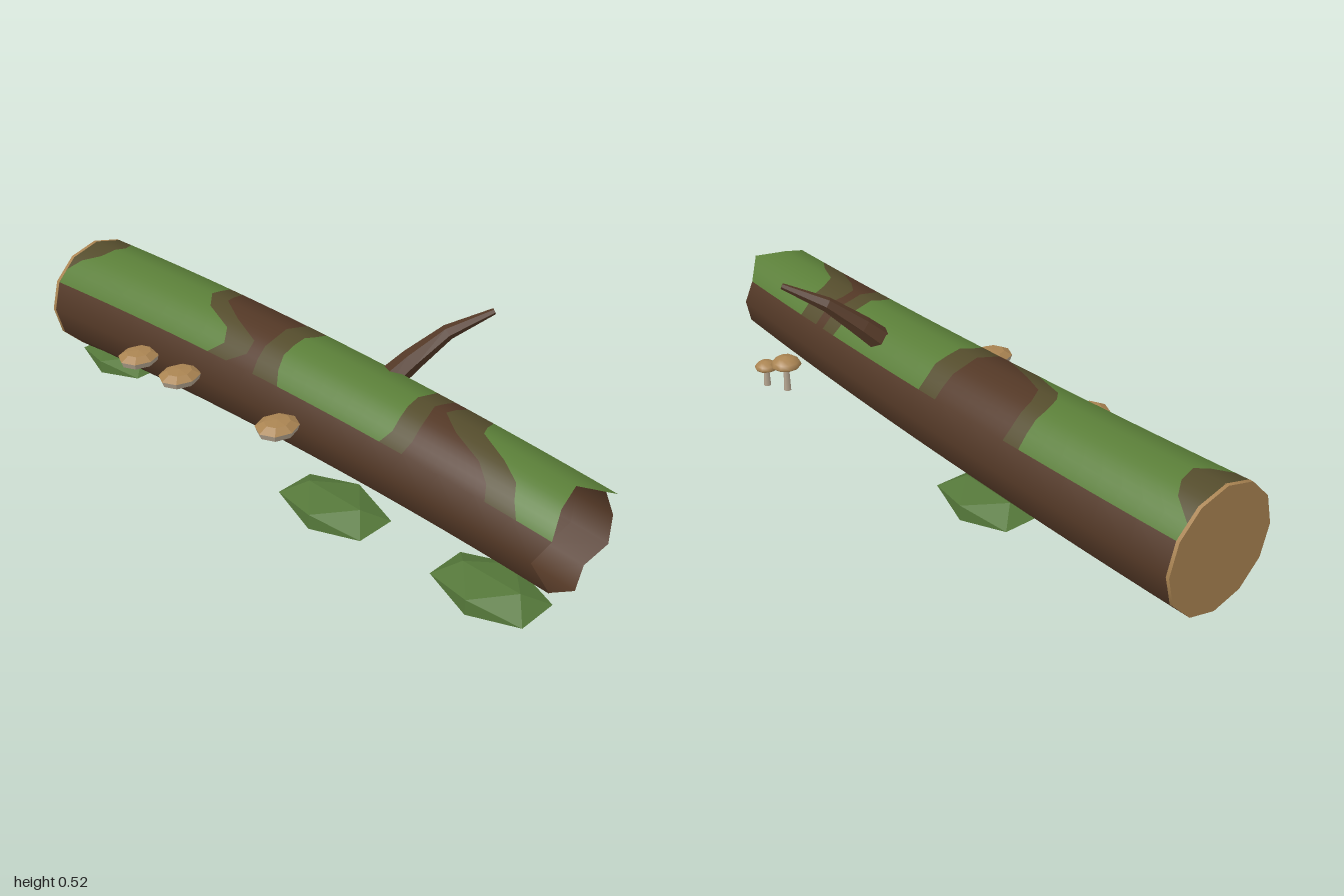
import * as THREE from 'three';
import { mergeVertices } from 'three/addons/utils/BufferGeometryUtils.js';

const mat = (name, color, extra = {}) => Object.assign(new THREE.MeshStandardMaterial({ color, ...extra }), { name });

// Gently bowed, tapering trunk: centre line and radius along x
const START = -0.99;
const centreY = x => 0.215 + 0.005 * x - 0.0075 * x * x;
const centreZ = x => 0.012 + 0.033 * x * x;
const radius = x => 0.1675 - 0.0165 * x;

// Linear lookup in a list of values spaced by step degrees
function lookup(list, deg, from, step) {
  const t = (deg - from) / step, i = Math.min(Math.floor(t), list.length - 2);
  return THREE.MathUtils.lerp(list[i], list[i + 1], t - i);
}

// Jagged broken end, one value per trunk corner (0 = front, 90 = top)
const JAGGED = [0.91, 0.95, 0.93, 0.915, 0.99, 0.92, 0.94, 0.95, 0.92, 0.95, 0.92, 0.96, 0.91];
const brokenEnd = deg => lookup(JAGGED, deg, 0, 30);

// Point on the twelve-sided trunk surface
function trunkPoint(x, deg) {
  const k = Math.floor(deg / 30), f = deg / 30 - k;
  const a = k * Math.PI / 6, b = (k + 1) * Math.PI / 6;
  const c = THREE.MathUtils.lerp(Math.cos(a), Math.cos(b), f);
  const s = THREE.MathUtils.lerp(Math.sin(a), Math.sin(b), f);
  return [x, centreY(x) + radius(x) * s, centreZ(x) + radius(x) * c];
}

// Piece of trunk skin between two edges, with smooth radial normals
function skin(fromDeg, toDeg, edgeA, edgeB, step, cols = 8) {
  const pos = [], nor = [], idx = [];
  const rows = Math.round((toDeg - fromDeg) / step);
  for (let i = 0; i <= rows; i++) {
    const deg = fromDeg + i * step, r = THREE.MathUtils.degToRad(deg);
    for (let j = 0; j <= cols; j++) {
      pos.push(...trunkPoint(THREE.MathUtils.lerp(edgeA(deg), edgeB(deg), j / cols), deg));
      nor.push(0, Math.sin(r), Math.cos(r));
      if (i < rows && j < cols) {
        const p = i * (cols + 1) + j, q = p + cols + 1;
        idx.push(p, p + 1, q, p + 1, q + 1, q);
      }
    }
  }
  const g = new THREE.BufferGeometry();
  g.setAttribute('position', new THREE.Float32BufferAttribute(pos, 3));
  g.setAttribute('normal', new THREE.Float32BufferAttribute(nor, 3));
  g.setIndex(idx);
  return g;
}

// Faceted tapering limb through rings of [x, y, z, radius]
function limb(rings, sides) {
  const pts = rings.map(r => new THREE.Vector3(r[0], r[1], r[2]));
  const pos = [], idx = [];
  const up = new THREE.Vector3(0, 1, 0);
  rings.forEach((ring, i) => {
    const dir = pts[Math.min(i + 1, pts.length - 1)].clone().sub(pts[Math.max(i - 1, 0)]).normalize();
    const u = new THREE.Vector3().crossVectors(up, dir).normalize();
    const v = new THREE.Vector3().crossVectors(dir, u);
    for (let k = 0; k < sides; k++) {
      const a = k / sides * Math.PI * 2;
      const p = pts[i].clone().addScaledVector(u, Math.cos(a) * ring[3]).addScaledVector(v, Math.sin(a) * ring[3]);
      pos.push(p.x, p.y, p.z);
      if (i < rings.length - 1) {
        const n = (k + 1) % sides, b = i * sides;
        idx.push(b + k, b + n, b + sides + k, b + n, b + sides + n, b + sides + k);
      }
    }
  });
  const last = (rings.length - 1) * sides;
  for (let k = 1; k < sides - 1; k++) idx.push(0, k + 1, k, last, last + k, last + k + 1);
  const g = new THREE.BufferGeometry();
  g.setAttribute('position', new THREE.Float32BufferAttribute(pos, 3));
  g.setIndex(idx);
  const flat = g.toNonIndexed();
  flat.computeVertexNormals();
  return flat;
}

function lathe(points, sides, flat) {
  let g = new THREE.LatheGeometry(points.map(p => new THREE.Vector2(...p)), sides);
  if (flat) {
    g = g.toNonIndexed();
    g.computeVertexNormals();
  }
  return g;
}

export function createModel() {
  const model = new THREE.Group();
  model.name = 'fallenLog';
  const two = { side: THREE.DoubleSide };
  const bark = mat('bark', 0x533826, two);
  const moss = mat('moss', 0x5a7e38, two);
  const fade = mat('mossyBark', 0x544c2c, two);
  const wood = mat('cutWood', 0xaa8452, two);
  const pale = mat('paleFlesh', 0xb5a590, two);
  const clump = mat('mossClump', 0x55783a, { flatShading: true });

  const add = (name, geometry, material, parent = model) => {
    const m = new THREE.Mesh(geometry, material);
    m.name = name;
    parent.add(m);
    return m;
  };

  // Bare bark around the front, underside and back
  const start = () => START;
  add('barkFront', skin(0, 30, start, brokenEnd, 30, 16), bark);
  add('barkUnderside', skin(150, 360, start, brokenEnd, 30, 16), bark);

  // Upper skin: moss patches with faded borders, edges listed from front to back
  const edge = list => deg => lookup(list, deg, 30, 15);
  const edges = [
    start,
    edge([START, START, -0.95, -0.91, -0.895, -0.9, -0.93, START, START]),
    edge([-0.3, -0.26, -0.28, -0.4, -0.44, -0.45, -0.455, -0.455, -0.46]),
    edge([-0.22, -0.165, -0.165, -0.28, -0.37, -0.39, -0.4, -0.4, -0.4]),
    edge([-0.11, -0.12, -0.12, -0.12, -0.12, -0.12, -0.12, -0.115, -0.115]),
    edge([-0.01, -0.035, -0.045, -0.05, -0.045, -0.04, -0.04, -0.04, -0.04]),
    edge([0.38, 0.4, 0.4, 0.39, 0.39, 0.39, 0.39, 0.395, 0.4]),
    edge([0.46, 0.47, 0.47, 0.46, 0.45, 0.45, 0.455, 0.46, 0.46]),
    edge([0.74, 0.72, 0.67, 0.56, 0.49, 0.49, 0.5, 0.5, 0.5]),
    edge([0.84, 0.81, 0.79, 0.72, 0.62, 0.6, 0.59, 0.59, 0.59]),
    brokenEnd,
  ];
  const bands = [fade, moss, fade, bark, fade, moss, fade, bark, fade, moss];
  bands.forEach((m, i) => add(m.name + 'Patch' + (i + 1), skin(30, 150, edges[i], edges[i + 1], 7.5), m));

  // Sawn end disc
  const disc = add('sawnEnd', new THREE.CylinderGeometry(0.184, 0.184, 0.012, 12), wood);
  disc.rotation.z = Math.PI / 2;
  disc.position.set(-0.994, centreY(-1), centreZ(-1));

  // Broken branch stub
  add('branch', limb([
    [0.205, 0.305, -0.04, 0.04],
    [0.25, 0.38, -0.115, 0.033],
    [0.305, 0.457, -0.2, 0.022],
    [0.385, 0.515, -0.3, 0.009],
  ], 6), bark);

  // Shelf fungi on the front
  const shelfTop = lathe([[1, 0], [0.6, 0.014], [0, 0.018]], 8, true);
  const shelfUnder = lathe([[0, -0.009], [0.9, -0.018], [1, 0]], 8, true);
  [[-0.54, 0.217], [-0.345, 0.231], [0.075, 0.245]].forEach(([x, y], i) => {
    const g = new THREE.Group();
    g.name = 'shelfFungus' + (i + 1);
    g.position.set(x, y, 0.237);
    g.scale.set(0.058, 1, 0.067);
    add('shelfTop', shelfTop, wood, g);
    add('shelfUnderside', shelfUnder, pale, g);
    model.add(g);
  });

  // Standing mushrooms behind the log
  [[0.635, -0.153, 0.11, 0.05], [0.705, -0.186, 0.084, 0.038]].forEach(([x, z, y, r], i) => {
    const g = new THREE.Group();
    g.name = 'mushroom' + (i + 1);
    g.position.set(x, 0, z);
    const stem = add('stem', new THREE.CylinderGeometry(0.009, 0.012, y - 0.015, 7), pale, g);
    stem.position.y = (y + 0.025) / 2;
    const h = r * 0.65;
    add('cap', lathe([[r * 0.9, -0.003], [r, 0.004], [r * 0.85, h * 0.5], [r * 0.5, h * 0.88], [0, h]], 10), wood, g).position.y = y;
    add('gills', lathe([[0, 0], [r * 0.9, -0.003]], 10), pale, g).position.y = y;
    model.add(g);
  });

  // Low faceted moss clumps on the ground
  const blob = mergeVertices(new THREE.IcosahedronGeometry(1, 0));
  [[-0.825, 0.085, 0.17, 0.04], [-0.295, -0.09, 0.175, 0.045],
    [0.255, 0.195, 0.185, 0.045], [0.78, 0.165, 0.175, 0.045]].forEach(([x, z, w, h], i) => {
    const m = add('mossClump' + (i + 1), blob, clump);
    m.position.set(x, h * 0.851 + 0.002, z);
    m.scale.set(w, h, 0.118);
  });

  return model;
}
